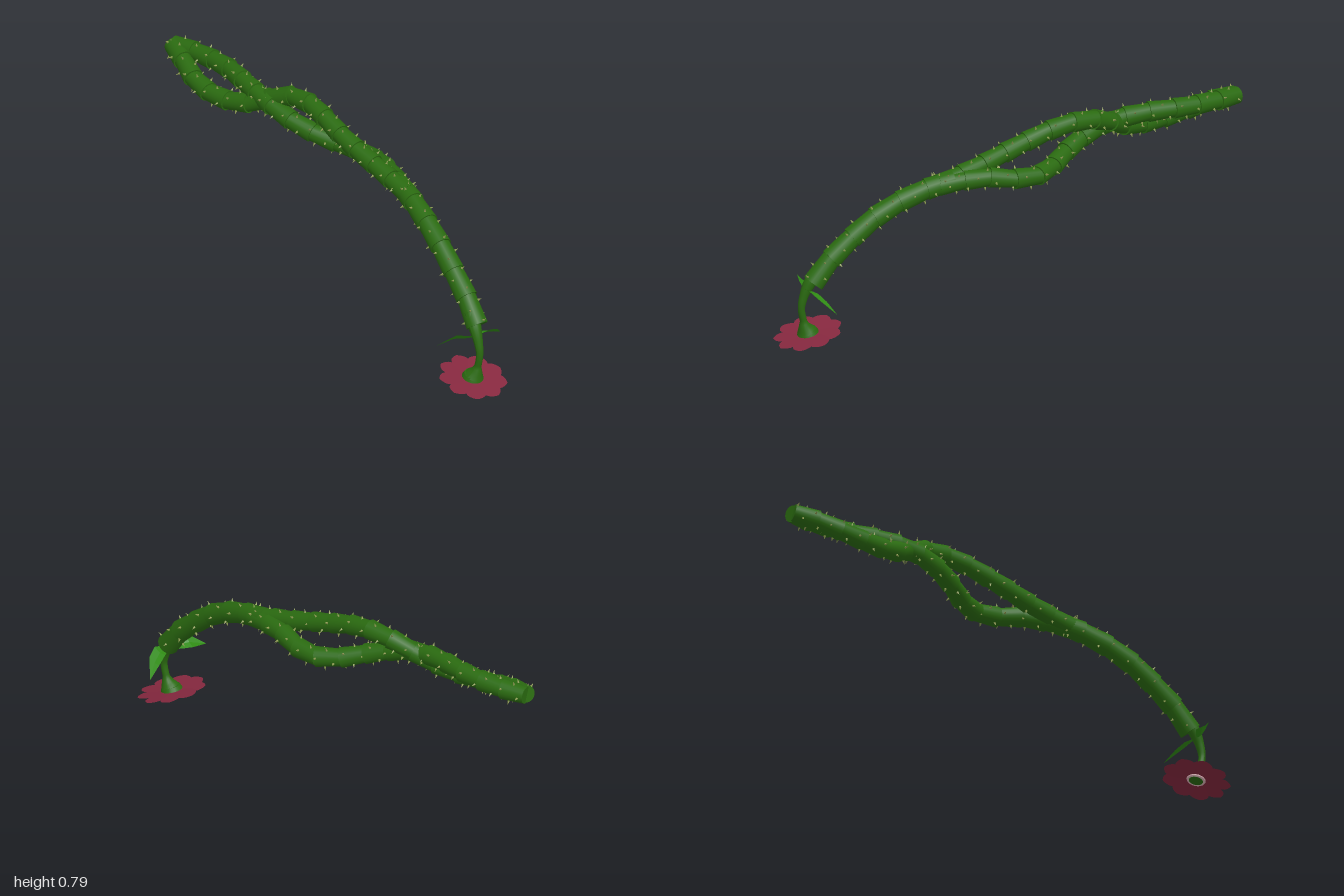
import * as THREE from 'three';
import { mergeGeometries } from 'three/addons/utils/BufferGeometryUtils.js';

const V = (x, y, z) => new THREE.Vector3(x, y, z);
const UP = V(0, 1, 0);
const mat = (color, extra = {}) =>
  Object.assign(new THREE.MeshStandardMaterial({ color }), extra);

const green = mat(0x2a6a10);
const leafGreen = mat(0x2f8a14, { side: THREE.DoubleSide, flatShading: true });
const thornTan = mat(0x8c9a52, { flatShading: true });
const petalRed = mat(0x86283f, { side: THREE.DoubleSide, flatShading: true });
const palePink = mat(0xd8b0b4);

function add(parent, name, geometry, material) {
  const mesh = new THREE.Mesh(geometry, material);
  mesh.name = name;
  parent.add(mesh);
  return mesh;
}

// Turn a geometry's +y towards dir and move it to pos
function place(geometry, pos, dir) {
  geometry.applyQuaternion(new THREE.Quaternion().setFromUnitVectors(UP, dir));
  return geometry.translate(pos.x, pos.y, pos.z);
}

// Overlapping tapered segments along a path, with rings of thorns
function vine(name, points, count, rWide, rNarrow, seed) {
  const group = new THREE.Group();
  group.name = name;
  const curve = new THREE.CatmullRomCurve3(points.map((p) => V(...p)));
  const segments = [], thorns = [];
  for (let i = 0; i < count; i++) {
    const a = curve.getPointAt(i / count);
    const b = curve.getPointAt((i + 1) / count);
    const dir = b.clone().sub(a);
    const len = dir.length();
    dir.normalize();
    const overlap = i < count - 1 ? 0.012 : 0;
    const mid = a.clone().addScaledVector(dir, (len + overlap) / 2);
    segments.push(place(new THREE.CylinderGeometry(rNarrow, rWide, len + overlap, 20), mid, dir));

    // Thorns spiral round the segment at the golden angle
    const turn = new THREE.Quaternion().setFromUnitVectors(UP, dir);
    for (let k = 0; k < 7; k++) {
      const f = (k + 0.5) / 7;
      const angle = (i * 7 + k + seed) * 2.4;
      const out = V(Math.cos(angle), 0, Math.sin(angle)).applyQuaternion(turn);
      const base = a.clone().addScaledVector(dir, f * len)
        .addScaledVector(out, THREE.MathUtils.lerp(rWide, rNarrow, f) + 0.005);
      thorns.push(place(new THREE.ConeGeometry(0.007, 0.022, 4), base, out));
    }
  }
  add(group, name + 'Segments', mergeGeometries(segments), green);
  add(group, name + 'Thorns', mergeGeometries(thorns), thornTan);
  return group;
}

// Tube whose radius follows a list of values at the path points
function taperedTube(points, radii) {
  const curve = new THREE.CatmullRomCurve3(points.map((p) => V(...p)));
  const n = 36, sides = 16;
  const geo = new THREE.TubeGeometry(curve, n, 1, sides);
  const pos = geo.attributes.position;
  const v = V(0, 0, 0);
  for (let i = 0; i <= n; i++) {
    const centre = curve.getPointAt(i / n);
    const t = curve.getUtoTmapping(i / n) * (radii.length - 1);
    const k = Math.min(Math.floor(t), radii.length - 2);
    const r = THREE.MathUtils.lerp(radii[k], radii[k + 1], t - k);
    for (let j = 0; j <= sides; j++) {
      const id = i * (sides + 1) + j;
      v.fromBufferAttribute(pos, id).sub(centre).multiplyScalar(r).add(centre);
      pos.setXYZ(id, v.x, v.y, v.z);
    }
  }
  geo.computeVertexNormals();
  return geo;
}

// Folded leaf: a midrib with an edge on each side
function leaf(spine, across, widths, fold) {
  const verts = [], index = [];
  spine.forEach((p, i) => {
    for (const s of [-1, 0, 1]) {
      verts.push(...V(...p).addScaledVector(V(...across), s * widths[i])
        .add(V(0, Math.abs(s) * fold * widths[i], 0)).toArray());
    }
    if (i === 0) return;
    for (let k = 0; k < 2; k++) {
      const a = (i - 1) * 3 + k, b = i * 3 + k;
      index.push(a, a + 1, b, a + 1, b + 1, b);
    }
  });
  const geo = new THREE.BufferGeometry();
  geo.setAttribute('position', new THREE.Float32BufferAttribute(verts, 3));
  geo.setIndex(index);
  geo.computeVertexNormals();
  return geo;
}

// Hanging flower, built flat in the xz plane and tilted
function flower() {
  const group = new THREE.Group();
  group.name = 'flower';
  const shape = new THREE.Shape();
  shape.moveTo(0.02, -0.012);
  shape.quadraticCurveTo(0.085, -0.052, 0.115, -0.036);
  shape.quadraticCurveTo(0.132, -0.024, 0.138, 0);
  shape.quadraticCurveTo(0.132, 0.024, 0.115, 0.036);
  shape.quadraticCurveTo(0.085, 0.052, 0.02, 0.012);
  const count = 9;
  for (let i = 0; i < count; i++) {
    const geo = new THREE.ShapeGeometry(shape, 5).rotateX(-Math.PI / 2);
    const petal = add(group, 'petal', geo, petalRed);
    petal.rotation.set(0.06, (i / count) * Math.PI * 2, 0, 'YXZ');
  }
  const ring = add(group, 'flowerRing', new THREE.TorusGeometry(0.032, 0.006, 8, 24), palePink);
  ring.rotation.x = Math.PI / 2;
  ring.position.y = -0.002;
  const heart = add(group, 'flowerHeart', new THREE.CylinderGeometry(0.03, 0.028, 0.01, 20), green);
  heart.position.y = -0.002;
  const cup = add(group, 'flowerCup', new THREE.CylinderGeometry(0.036, 0.043, 0.016, 20), green);
  cup.position.y = 0.009;
  group.position.set(0.86, 0.039, 0.128);
  group.rotation.z = -0.245;
  return group;
}

export function createModel() {
  const model = new THREE.Group();
  model.name = 'thornyVine';

  // Single stem, then two strands twisting round each other
  model.add(vine('mainStem', [
    [0.857, 0.255, 0.098], [0.8, 0.33, 0.082], [0.7, 0.42, 0.056], [0.57, 0.515, 0.018],
    [0.42, 0.58, -0.035], [0.3, 0.61, -0.08],
  ], 6, 0.044, 0.038, 0));
  model.add(vine('upperStrand', [
    [0.36, 0.597, -0.057], [0.2, 0.635, -0.08], [0, 0.69, -0.1], [-0.15, 0.735, -0.13],
    [-0.27, 0.75, -0.155], [-0.38, 0.725, -0.152], [-0.5, 0.665, -0.115], [-0.62, 0.64, -0.1],
    [-0.77, 0.65, -0.11], [-0.9, 0.69, -0.165], [-0.99, 0.708, -0.205],
  ], 14, 0.041, 0.034, 3));
  model.add(vine('lowerStrand', [
    [0.36, 0.594, -0.06], [0.2, 0.612, -0.13], [0.08, 0.595, -0.185], [-0.02, 0.592, -0.203],
    [-0.12, 0.605, -0.175], [-0.25, 0.645, -0.125], [-0.4, 0.69, -0.117], [-0.53, 0.71, -0.145],
    [-0.7, 0.715, -0.2], [-0.85, 0.71, -0.22], [-0.99, 0.707, -0.215],
  ], 14, 0.041, 0.034, 8));

  // Thin neck flaring into the flower
  add(model, 'flowerNeck', taperedTube([
    [0.825, 0.305, 0.1], [0.862, 0.25, 0.115], [0.884, 0.2, 0.122], [0.894, 0.15, 0.125],
    [0.884, 0.095, 0.125], [0.877, 0.07, 0.126], [0.868, 0.05, 0.127],
  ], [0.03, 0.025, 0.018, 0.014, 0.014, 0.025, 0.038]), green);

  // Two leaves on the neck
  add(model, 'frontLeaf', leaf(
    [[0.875, 0.222, 0.125], [0.85, 0.222, 0.165], [0.825, 0.226, 0.2], [0.785, 0.204, 0.26]],
    [0.022, 0.018, 0.01], [0.35, 0.8, 1.1, 0.03], 0.008), leafGreen);
  add(model, 'backLeaf', leaf(
    [[0.875, 0.225, 0.12], [0.878, 0.222, 0.07], [0.872, 0.202, 0.02], [0.85, 0.165, -0.045]],
    [0.024, 0.012, 0], [0.4, 1, 0.95, 0.05], 0.008), leafGreen);

  model.add(flower());
  return model;
}
